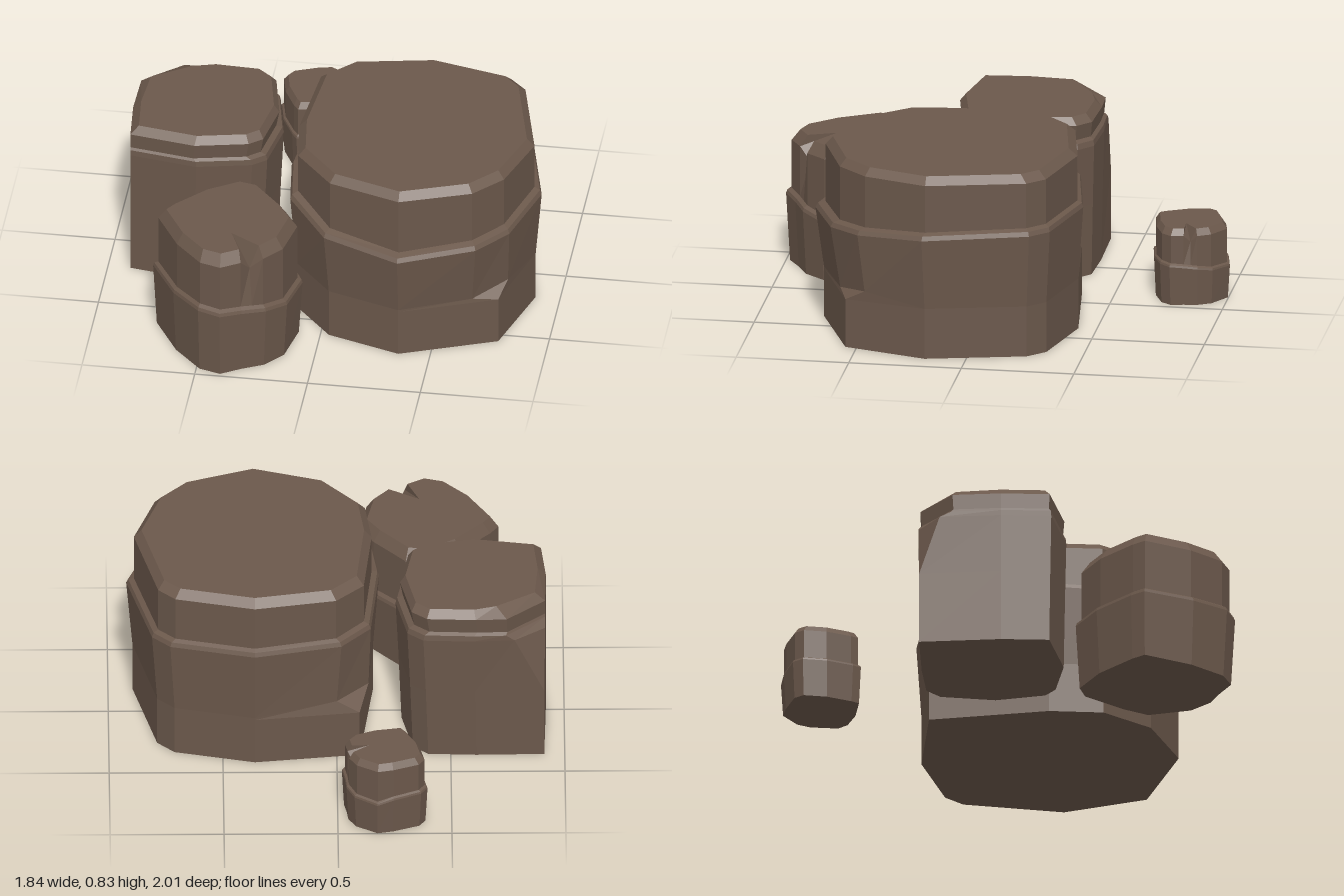
import * as THREE from 'three';

const stone = new THREE.MeshStandardMaterial({ color: 0x6b584b, flatShading: true });
stone.name = 'brown stone';

// One cross-section: a plan outline scaled about (cx, cz), at one height or a height per corner.
// "moved" replaces single corners as { index: [x, z] } or { index: [x, z, y] }.
function ring(outline, y, s = 1, cx = 0, cz = 0, moved = {}) {
  return outline.map(([x, z], i) => {
    const h = Array.isArray(y) ? y[i] : y;
    const m = moved[i];
    if (m) return new THREE.Vector3(m[0], m[2] ?? h, m[1]);
    return new THREE.Vector3(cx + (x - cx) * s, h, cz + (z - cz) * s);
  });
}

// Skin the cross-sections from bottom to top and cap both ends around a centre point.
function rockGeometry(rings, cx, cz) {
  const pos = [];
  const tri = (a, b, c) => {
    const area = b.clone().sub(a).cross(c.clone().sub(a)).length();
    if (area > 1e-7) for (const p of [a, b, c]) pos.push(p.x, p.y, p.z);
  };
  const n = rings[0].length;
  const last = rings[rings.length - 1];
  const bottom = new THREE.Vector3(cx, rings[0][0].y, cz);
  const top = new THREE.Vector3(cx, last[0].y, cz);
  for (let i = 0; i < n; i++) {
    const j = (i + 1) % n;
    for (let k = 0; k + 1 < rings.length; k++) {
      const a = rings[k], b = rings[k + 1];
      tri(a[j], a[i], b[i]);
      tri(a[j], b[i], b[j]);
    }
    tri(bottom, rings[0][i], rings[0][j]);
    tri(top, last[j], last[i]);
  }
  const g = new THREE.BufferGeometry();
  g.setAttribute('position', new THREE.Float32BufferAttribute(pos, 3));
  g.computeVertexNormals();
  return g;
}

// Broad rock: sharp base corners at front right and back left, chipped off above
function largeRock() {
  const o = [[0.36, -0.44], [0.73, -0.35], [0.81, -0.27], [0.92, 0.19], [0.82, 0.49], [0.69, 0.63],
    [0.36, 0.75], [0.02, 0.64], [-0.16, 0.43], [-0.19, 0.18], [-0.15, -0.24], [-0.02, -0.37]];
  const ledge = [0.56, 0.56, 0.56, 0.55, 0.53, 0.52, 0.5, 0.53, 0.58, 0.59, 0.58, 0.57];
  const front = [0.78, 0.55], back = [-0.1, -0.36];
  const corners = { 4: front, 5: front, 10: back, 11: back };
  const chips = { 4: [0.81, 0.46, 0.27], 5: [0.67, 0.59, 0.24], 10: [-0.14, -0.23, 0.29], 11: [0, -0.36, 0.28] };
  return rockGeometry([
    ring(o, 0, 0.95, 0.36, 0, corners),
    ring(o, 0.22, 0.95, 0.36, 0, corners),
    ring(o, 0.23, 0.95, 0.36, 0, chips),
    ring(o, ledge, 1),
    ring(o, ledge.map(y => y + 0.02), 0.985, 0.36, 0),
    ring(o, ledge.map(y => y + 0.03), 0.94, 0.36, 0),
    ring(o, 0.795, 0.94, 0.36, 0),
    ring(o, 0.83, 0.88, 0.36, 0.1),
  ], 0.36, 0.15);
}

// Tall rock: straight left side, back left corner cut by a tapering facet
function tallRock() {
  const o = [[-0.74, -0.375], [-0.6, -0.38], [-0.38, -0.37], [-0.31, -0.31], [-0.26, -0.06],
    [-0.3, 0.17], [-0.36, 0.22], [-0.6, 0.27], [-0.9, 0.22], [-0.92, 0], [-0.915, -0.22]];
  const c = [-0.91, -0.36];
  const corner = { 0: c, 10: c };
  return rockGeometry([
    ring(o, 0, 0.96, -0.91, 0, corner),
    ring(o, 0.33, 0.98, -0.91, 0, corner),
    ring(o, 0.6, 1, -0.91, 0, { 0: [-0.78, -0.37], 10: [-0.915, -0.27] }),
    ring(o, 0.625, 0.99, -0.91, 0),
    ring(o, 0.635, 0.95, -0.91, 0),
    ring(o, 0.705, 0.97, -0.91, 0),
    ring(o, 0.74, 0.88, -0.62, -0.03, { 0: [-0.7, -0.31], 10: [-0.87, -0.2] }),
  ], -0.6, -0.05);
}

// Stepped rock with a cracked rim, centred on its own origin
function steppedRock() {
  const o = [[0.02, -0.35], [0.11, -0.33], [0.26, -0.16], [0.33, -0.05], [0.29, 0.15], [0.21, 0.245],
    [0.16, 0.27], [0.11, 0.295], [0.02, 0.35], [-0.08, 0.32], [-0.21, 0.18], [-0.33, -0.03],
    [-0.29, -0.09], [-0.14, -0.25]];
  const ledge = [0.3, 0.3, 0.29, 0.26, 0.27, 0.29, 0.295, 0.3, 0.31, 0.315, 0.305, 0.3, 0.3, 0.3];
  return rockGeometry([
    ring(o, 0, 0.95),
    ring(o, ledge, 1),
    ring(o, ledge.map(y => y + 0.015), 0.985),
    ring(o, ledge.map(y => y + 0.025), 0.93),
    ring(o, 0.555, 0.93, 0, 0, { 6: [0.135, 0.225, 0.5] }),
    ring(o, 0.605, 0.82, 0, 0, { 6: [0.04, 0.12] }),
  ], -0.02, -0.02);
}

export function createModel() {
  const group = new THREE.Group();
  group.name = 'rockCluster';
  const add = (name, geometry) => {
    const mesh = new THREE.Mesh(geometry, stone);
    mesh.name = name;
    group.add(mesh);
    return mesh;
  };
  add('largeRock', largeRock());
  add('tallRock', tallRock());

  // The stepped rock is repeated smaller and turned behind the others
  const stepped = steppedRock();
  add('mediumRock', stepped).position.set(-0.41, 0, 0.65);
  const small = add('smallRock', stepped);
  small.position.set(-0.21, 0, -0.82);
  small.rotation.y = THREE.MathUtils.degToRad(70);
  small.scale.setScalar(0.57);
  return group;
}
